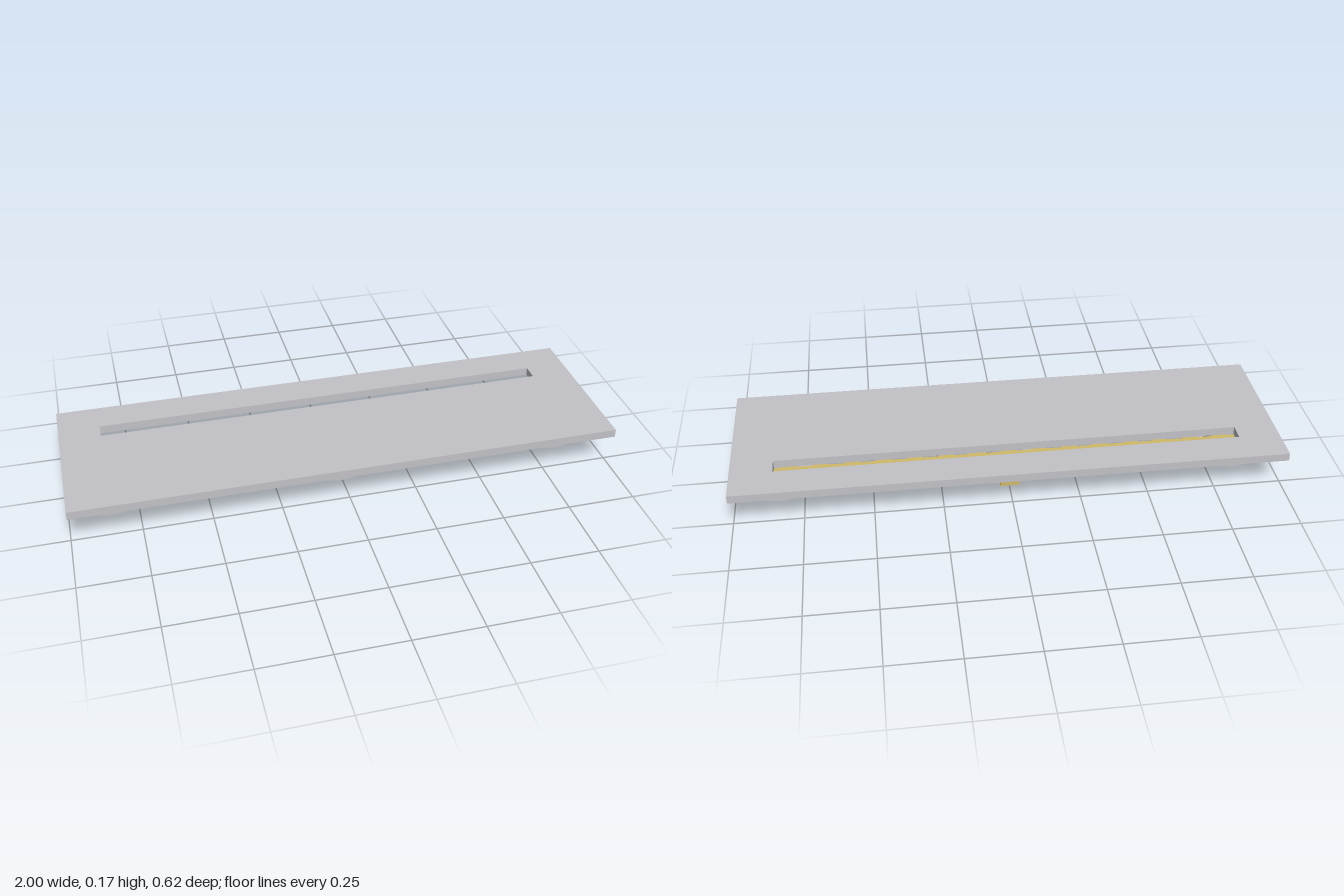
import * as THREE from 'three';
import { toCreasedNormals } from 'three/addons/utils/BufferGeometryUtils.js';

const AXLE = 0.848;      // distance from the middle to each end pulley
const R_OUT = 0.13;      // outside radius of the belt
const R_ROOT = 0.112;    // inside radius between teeth
const R_TIP = 0.079;     // inside radius at the tooth tips
const TEETH = 36;

const grey = new THREE.MeshStandardMaterial({ name: 'light grey', color: 0xc2c1c6 });
const gold = new THREE.MeshStandardMaterial({ name: 'belt gold', color: 0xcfb96b });

function add(parent, name, geometry, material, x = 0, y = 0, z = 0) {
  const mesh = new THREE.Mesh(geometry, material);
  mesh.name = name;
  mesh.position.set(x, y, z);
  parent.add(mesh);
  return mesh;
}

// Extrudes a plan outline upwards
function slab(shape, height, crease) {
  const g = new THREE.ExtrudeGeometry(shape, { depth: height, bevelEnabled: false, curveSegments: 32 });
  g.rotateX(-Math.PI / 2);
  return toCreasedNormals(g, crease);
}

// Point on a stadium of radius r; t runs once round the loop from the middle of one side
function loopPoint(t, r) {
  const arc = Math.PI * R_ROOT;
  const total = 4 * AXLE + 2 * arc;
  let s = (((t % 1) + 1) % 1) * total;
  let flip = 1;
  if (s >= total / 2) { s -= total / 2; flip = -1; }
  let x, y;
  if (s < AXLE) { x = s; y = -r; }
  else if (s < AXLE + arc) {
    const a = (s - AXLE) / R_ROOT - Math.PI / 2;
    x = AXLE + r * Math.cos(a);
    y = r * Math.sin(a);
  } else { x = 2 * AXLE + arc - s; y = r; }
  return new THREE.Vector2(x * flip, y * flip);
}

// Closed belt with teeth on the inside
function beltGeometry() {
  const shape = new THREE.Shape();
  shape.absarc(AXLE, 0, R_OUT, -Math.PI / 2, Math.PI / 2);
  shape.absarc(-AXLE, 0, R_OUT, Math.PI / 2, Math.PI * 1.5);
  shape.closePath();
  const profile = [[-0.5, R_ROOT], [-0.38, R_ROOT], [-0.26, R_ROOT], [-0.18, R_TIP],
    [0, R_TIP], [0.18, R_TIP], [0.26, R_ROOT], [0.38, R_ROOT]];
  const inner = [];
  for (let i = 0; i < TEETH; i++) {
    for (const [o, r] of profile) inner.push(loopPoint((i + o) / TEETH, r));
  }
  shape.holes.push(new THREE.Path(inner.reverse()));
  return slab(shape, 0.117, 0.4);
}

// Flat cover with a long slot towards the back
function plateGeometry() {
  const rect = (Kind, x, y0, y1) => new Kind([[-x, y0], [x, y0], [x, y1], [-x, y1]]
    .map(([a, b]) => new THREE.Vector2(a, b)));
  const shape = rect(THREE.Shape, 1, -0.308, 0.308);
  shape.holes.push(rect(THREE.Path, 0.848, 0.12, 0.182));
  return slab(shape, 0.03, 0.4);
}

export function createModel() {
  const model = new THREE.Group();
  model.name = 'beltDrive';

  add(model, 'coverPlate', plateGeometry(), grey, 0, 0.137, 0);
  add(model, 'toothedBelt', beltGeometry(), gold, 0, 0.011, 0);
  add(model, 'beltClip', new THREE.BoxGeometry(0.07, 0.077, 0.044), gold, 0, 0.0505, -0.146);

  // Three pulleys, each a flange with a hub
  for (const x of [-AXLE, 0, AXLE]) {
    const pulley = new THREE.Group();
    pulley.name = 'pulley';
    pulley.position.x = x;
    add(pulley, 'flange', new THREE.CylinderGeometry(0.142, 0.142, 0.011, 64), grey, 0, 0.0055, 0);
    add(pulley, 'hub', new THREE.CylinderGeometry(0.07, 0.07, 0.12, 48), grey, 0, 0.071, 0);
    model.add(pulley);
  }
  return model;
}
